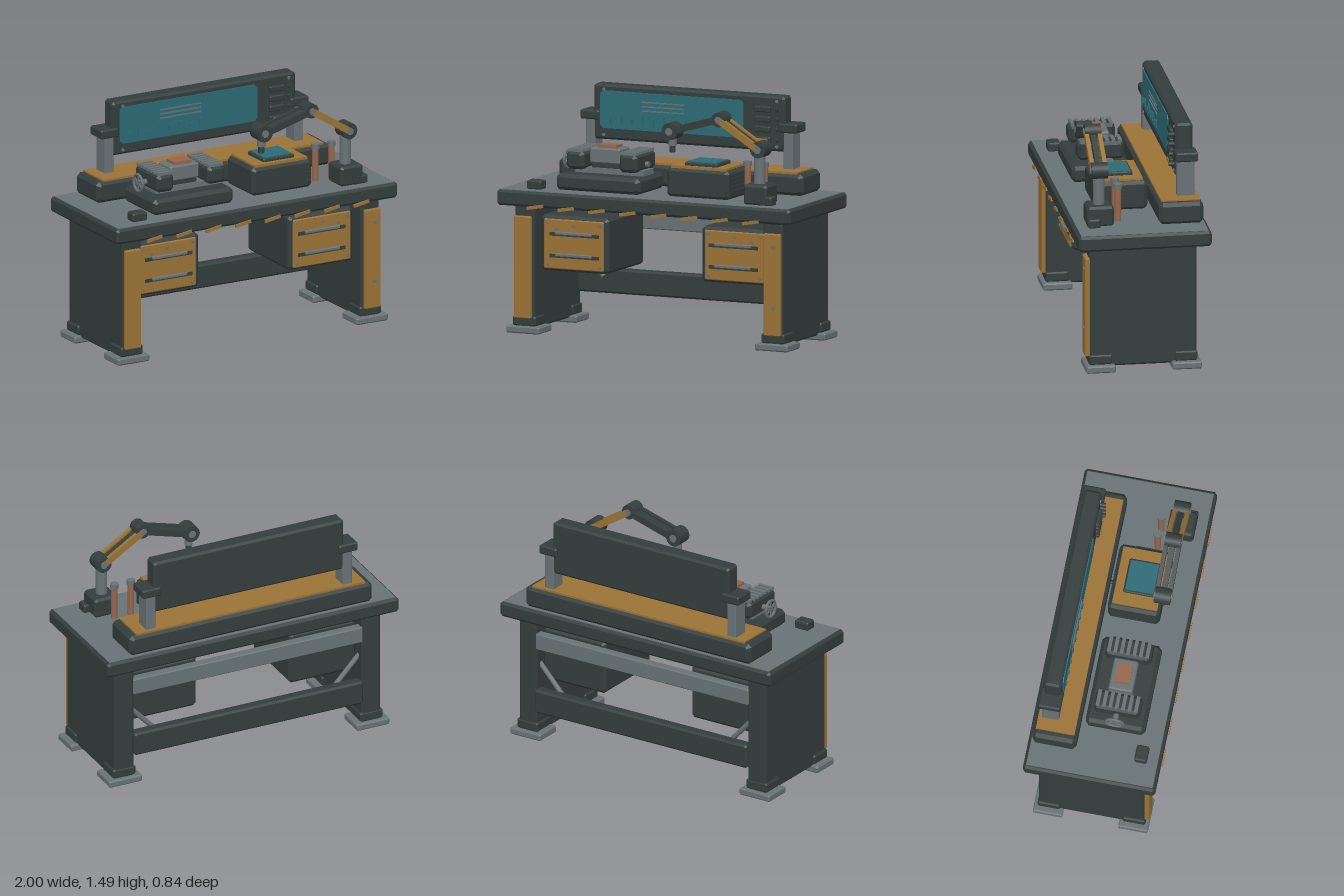
import * as THREE from 'three';

const mat = (name, color) => Object.assign(new THREE.MeshStandardMaterial({ color }), { name });

export function createModel() {
  const root = new THREE.Group();
  root.name = 'workbench';
  const dark = mat('dark steel', 0x343d3d);
  const grey = mat('grey metal', 0x687275);
  const gold = mat('ochre paint', 0x9a7336);
  const teal = mat('teal glass', 0x2c6b76);
  const copper = mat('copper', 0x94664c);

  const add = (name, geo, m, x = 0, y = 0, z = 0) => {
    const mesh = new THREE.Mesh(geo, m);
    mesh.name = name;
    mesh.position.set(x, y, z);
    root.add(mesh);
    return mesh;
  };
  // Plain box given by its limits on each axis
  const box = (name, m, x0, x1, y0, y1, z0, z1) =>
    add(name, new THREE.BoxGeometry(x1 - x0, y1 - y0, z1 - z0), m, (x0 + x1) / 2, (y0 + y1) / 2, (z0 + z1) / 2);
  // Rectangle outline with cut corners
  const cutRect = (w, h, c) => {
    const a = w / 2, b = h / 2;
    return new THREE.Shape([[-a + c, -b], [a - c, -b], [a, -b + c], [a, b - c], [a - c, b], [-a + c, b], [-a, b - c], [-a, -b + c]]
      .map(p => new THREE.Vector2(...p)));
  };
  // Box with all edges chamfered
  const cham = (name, m, x0, x1, y0, y1, z0, z1, c = 0.012) => {
    const d = z1 - z0;
    const geo = new THREE.ExtrudeGeometry(cutRect(x1 - x0 - 2 * c, y1 - y0 - 2 * c, c * 0.4), {
      depth: d - 2 * c, bevelEnabled: true, bevelSize: c, bevelThickness: c, bevelSegments: 1,
    });
    geo.translate(0, 0, c - d / 2);
    return add(name, geo, m, (x0 + x1) / 2, (y0 + y1) / 2, (z0 + z1) / 2);
  };
  // Cylinder along a chosen axis
  const cyl = (name, m, r, len, x, y, z, axis = 'y', seg = 20) => {
    const mesh = add(name, new THREE.CylinderGeometry(r, r, len, seg), m, x, y, z);
    if (axis === 'x') mesh.rotation.z = Math.PI / 2;
    if (axis === 'z') mesh.rotation.x = Math.PI / 2;
    return mesh;
  };
  // Box with limits mirrored to the side s
  const side = (fn, s, name, m, a, b, ...rest) => fn(name, m, s > 0 ? a : -b, s > 0 ? b : -a, ...rest);

  // Tabletop with grey work surface and slanted front marks
  cham('tabletop', dark, -1, 1, 0.798, 0.895, -0.42, 0.408, 0.015);
  box('workSurface', grey, -0.98, 0.98, 0.89, 0.898, -0.402, 0.39);
  for (let i = 0; i < 8; i++) {
    const m = box('edgeMark', gold, -0.055, 0.055, 0.791, 0.811, 0.404, 0.416);
    m.position.x = -0.735 + i * 0.21;
    m.rotation.z = 0.17;
  }

  // Legs, feet, drawers and braces
  for (const s of [-1, 1]) {
    side(cham, s, 'sidePanel', dark, 0.78, 0.912, 0.03, 0.8, -0.338, 0.33);
    side(cham, s, 'legTrim', gold, 0.795, 0.907, 0.095, 0.73, 0.325, 0.356, 0.005);
    for (const [z0, z1, f0, f1] of [[0.19, 0.332, 0.17, 0.355], [-0.342, -0.2, -0.365, -0.18]]) {
      side(cham, s, 'ankle', dark, 0.77, 0.925, 0.045, 0.105, z0, z1, 0.008);
      side(cham, s, 'footPad', grey, 0.735, 0.96, 0, 0.045, f0, f1, 0.008);
    }
    side(cham, s, 'drawerCabinet', dark, 0.318, 0.778, 0.385, 0.73, -0.275, 0.24, 0.018);
    side(cham, s, 'drawerFront', gold, 0.345, 0.752, 0.4, 0.71, 0.235, 0.252, 0.006);
    for (const y of [0.62, 0.485]) {
      side(box, s, 'handleSlot', dark, 0.375, 0.71, y - 0.014, y + 0.008, 0.25, 0.256);
      side(cham, s, 'drawerHandle', grey, 0.42, 0.665, y - 0.004, y + 0.016, 0.254, 0.275, 0.004);
    }
    for (const x of [0.37, 0.727]) for (const y of [0.425, 0.685])
      cyl('drawerScrew', grey, 0.01, 0.008, s * x, y, 0.254, 'z', 10);
    for (const [x, y] of [[0.55, 0.672], [0.665, 0.65]])
      cyl('drawerStud', grey, 0.011, 0.008, s * x, y, 0.254, 'z', 10);
    const brace = cyl('brace', grey, 0.016, 0.28, s * 0.695, 0.39, -0.285, 'y', 12);
    brace.rotation.z = -s * 0.75;
  }
  for (const y of [0.27, 0.65]) cyl('legBolt', grey, 0.014, 0.01, 0.862, y, 0.357, 'z', 12);
  cham('lowerBeam', dark, -0.785, 0.785, 0.182, 0.335, -0.36, -0.285);
  cham('upperRail', grey, -0.785, 0.785, 0.6, 0.705, -0.345, -0.285, 0.006);

  // Rear console
  cham('rearConsole', dark, -0.832, 0.832, 0.895, 1.032, -0.395, -0.12, 0.022);
  box('consoleTop', gold, -0.785, 0.785, 1.028, 1.041, -0.38, -0.138);

  // Display on posts
  cham('displayCase', dark, -0.652, 0.652, 1.145, 1.487, -0.355, -0.248, 0.014);
  const screen = new THREE.ExtrudeGeometry(cutRect(0.975, 0.235, 0.02), { depth: 0.009, bevelEnabled: false });
  add('screen', screen, teal, -0.115, 1.333, -0.25);
  for (const y of [1.393, 1.366, 1.339]) box('screenLine', grey, -0.32, -0.03, y - 0.004, y + 0.004, -0.242, -0.236);
  [0.03, 0.05, 0.025, 0.06, 0.04, 0.055, 0.03, 0.05].forEach((h, i) =>
    box('graphBar', teal, -0.55 + i * 0.073, -0.53 + i * 0.073, 1.25, 1.25 + h, -0.242, -0.232));
  for (const x of [-0.58, 0.6]) for (const y of [1.175, 1.457])
    cyl('caseScrew', grey, 0.01, 0.012, x, y, -0.247, 'z', 10);
  [1.405, 1.343, 1.28, 1.215].forEach((y, i) => {
    cham('panelButton', dark, 0.455, 0.56, y - 0.018, y + 0.018, -0.252, -0.225, 0.005);
    if (i === 3) box('buttonFace', gold, 0.475, 0.545, y - 0.01, y + 0.01, -0.226, -0.22);
    cyl('panelKnob', dark, 0.014, 0.035, 0.6, y, -0.232, 'z', 12);
  });
  for (const s of [-1, 1]) {
    side(cham, s, 'displayPost', grey, 0.642, 0.706, 1.03, 1.28, -0.358, -0.25, 0.005);
    side(cham, s, 'displayBracket', dark, 0.61, 0.738, 1.265, 1.322, -0.376, -0.236, 0.008);
  }

  // Vise: base, ribbed jaws, slide, work block and hand wheel
  cham('viseBase', dark, -0.66, -0.09, 0.895, 0.998, -0.095, 0.278, 0.022);
  box('viseSlide', grey, -0.58, -0.115, 0.995, 1.032, 0.02, 0.16);
  for (const x of [-0.55, -0.19]) {
    cham('viseJaw', dark, x - 0.06, x + 0.06, 1.025, 1.138, -0.055, 0.235, 0.02);
    for (let i = 0; i < 7; i++) {
      const z = -0.03 + i * 0.04;
      box('jawRib', grey, x - 0.052, x + 0.052, 1.132, 1.15, z - 0.011, z + 0.011);
    }
  }
  box('workBlockStem', dark, -0.47, -0.285, 1.02, 1.07, 0.03, 0.15);
  cham('workBlock', grey, -0.48, -0.275, 1.062, 1.157, 0.015, 0.165, 0.008);
  box('copperPad', copper, -0.438, -0.312, 1.155, 1.175, 0.045, 0.138);
  cyl('wheelShaft', grey, 0.018, 0.56, -0.39, 1.065, 0.09, 'x', 14);
  const wheel = add('handWheel', new THREE.TorusGeometry(0.053, 0.009, 8, 24), grey, -0.665, 1.065, 0.09);
  wheel.rotation.y = Math.PI / 2;
  for (let i = 0; i < 3; i++) {
    const spoke = cyl('wheelSpoke', grey, 0.005, 0.105, -0.665, 1.065, 0.09, 'y', 8);
    spoke.rotation.x = i * Math.PI / 3;
  }

  // Test unit with tilted-up touch pad
  cham('testUnit', dark, 0.07, 0.495, 0.895, 1.077, -0.1, 0.225, 0.02);
  box('testUnitTop', gold, 0.095, 0.47, 1.07, 1.09, -0.075, 0.208);
  cham('padFrame', dark, 0.175, 0.395, 1.085, 1.111, -0.022, 0.178, 0.006);
  box('padScreen', teal, 0.187, 0.383, 1.109, 1.116, -0.01, 0.166);
  for (let i = 0; i < 5; i++) {
    const y = 0.94 + i * 0.026;
    box('ventSlat', dark, 0.435, 0.48, y, y + 0.012, 0.215, 0.232);
    box('ventSlat', dark, 0.485, 0.501, y, y + 0.012, 0.0, 0.18);
  }
  cyl('cable', dark, 0.013, 0.06, 0.28, 0.94, -0.11, 'z', 10);

  // Copper posts with grey caps, and corner stops
  for (const x of [0.577, 0.692]) {
    cyl('copperPost', copper, 0.02, 0.215, x, 1.0, 0.118);
    cyl('postCap', grey, 0.026, 0.03, x, 1.12, 0.118);
  }
  for (const s of [-1, 1]) side(cham, s, 'cornerStop', dark, 0.735, 0.835, 0.895, 0.952, 0.246, 0.324, 0.008);

  // Jointed arm
  cham('armBase', dark, 0.642, 0.802, 0.895, 1.022, 0.158, 0.325, 0.014);
  cyl('armColumn', grey, 0.036, 0.2, 0.718, 1.11, 0.242);
  const joints = [[0.725, 1.235, 0.051], [0.455, 1.405, 0.046], [0.122, 1.31, 0.053]];
  for (const [x, y, r] of joints) {
    cyl('armJoint', dark, r, 0.1, x, y, 0.24, 'z', 24);
    cyl('jointCap', grey, r * 0.45, 0.112, x, y, 0.24, 'z', 16);
  }
  const link = (a, b, m, name) => {
    const dx = b[0] - a[0], dy = b[1] - a[1], len = Math.hypot(dx, dy);
    for (const [z, w, h, mm] of [[0.2, 0.026, 0.042, m], [0.24, 0.034, 0.03, dark], [0.28, 0.026, 0.042, m]]) {
      const bar = add(name, new THREE.BoxGeometry(len, h, w), mm, (a[0] + b[0]) / 2, (a[1] + b[1]) / 2, z);
      bar.rotation.z = Math.atan2(dy, dx);
    }
  };
  link(joints[0], joints[1], gold, 'upperArm');
  link(joints[1], joints[2], dark, 'foreArm');
  cyl('toolCollar', grey, 0.026, 0.06, 0.122, 1.25, 0.24);
  cyl('toolTip', dark, 0.019, 0.05, 0.122, 1.203, 0.24);

  return root;
}
